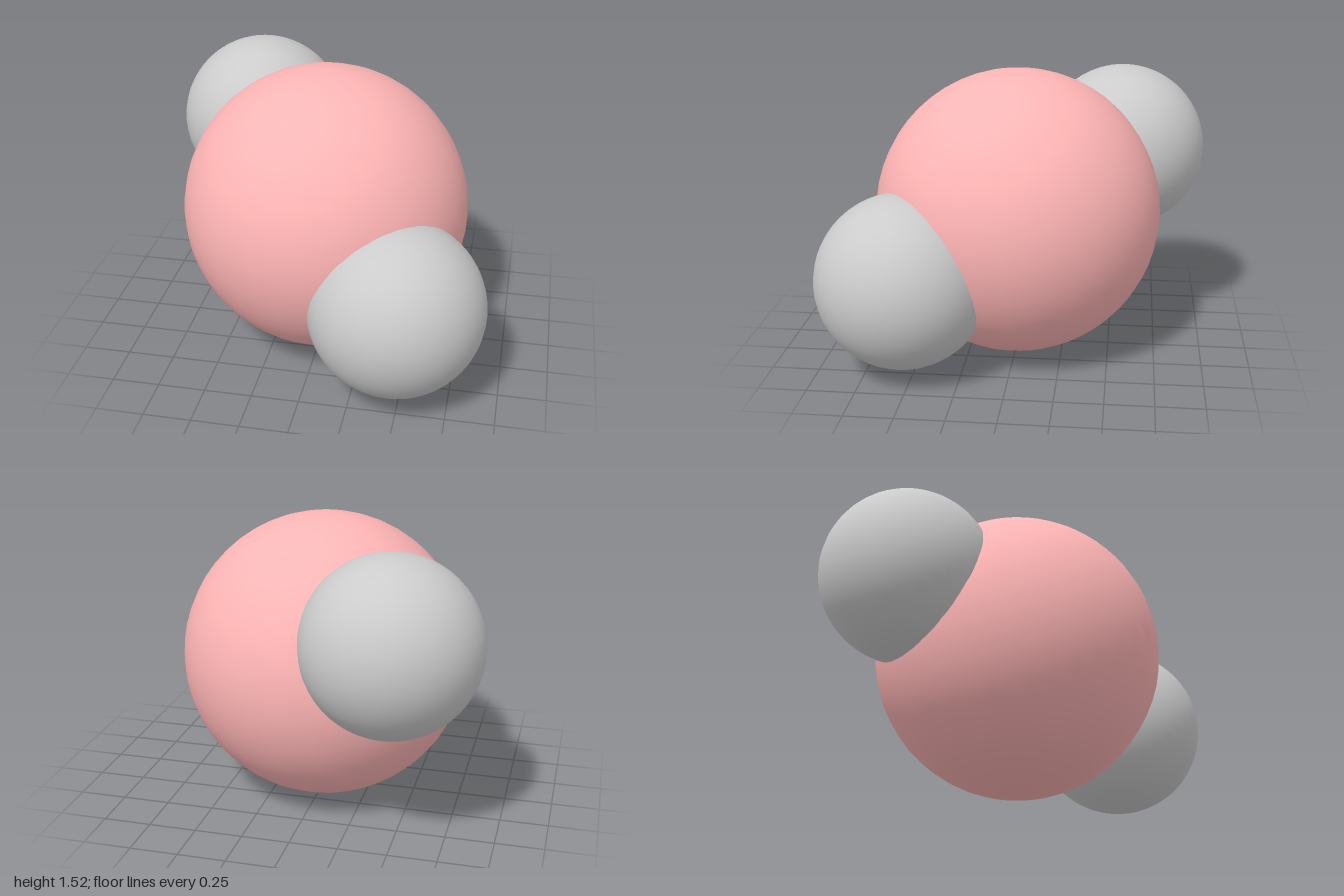
import * as THREE from 'three';

// One smooth ball, named and placed by its centre
function ball(name, radius, center, color) {
  const mesh = new THREE.Mesh(
    new THREE.SphereGeometry(radius, 40, 28),
    new THREE.MeshStandardMaterial({ color })
  );
  mesh.name = name;
  mesh.position.set(...center);
  return mesh;
}

export function createModel() {
  const group = new THREE.Group();
  group.name = 'molecule';

  // Large central atom resting on the ground
  const R = 0.76;
  group.add(ball('centralAtom', R, [0, R, 0], 0xffb5b5));

  // Two smaller atoms on opposite sides, mirrored through the centre
  const offset = [0.463, -0.257, 0.545];
  for (const [name, s] of [['frontAtom', 1], ['backAtom', -1]]) {
    const [x, y, z] = offset.map((v) => v * s);
    group.add(ball(name, 0.455, [x, R + y, z], 0xcccccc));
  }
  return group;
}
